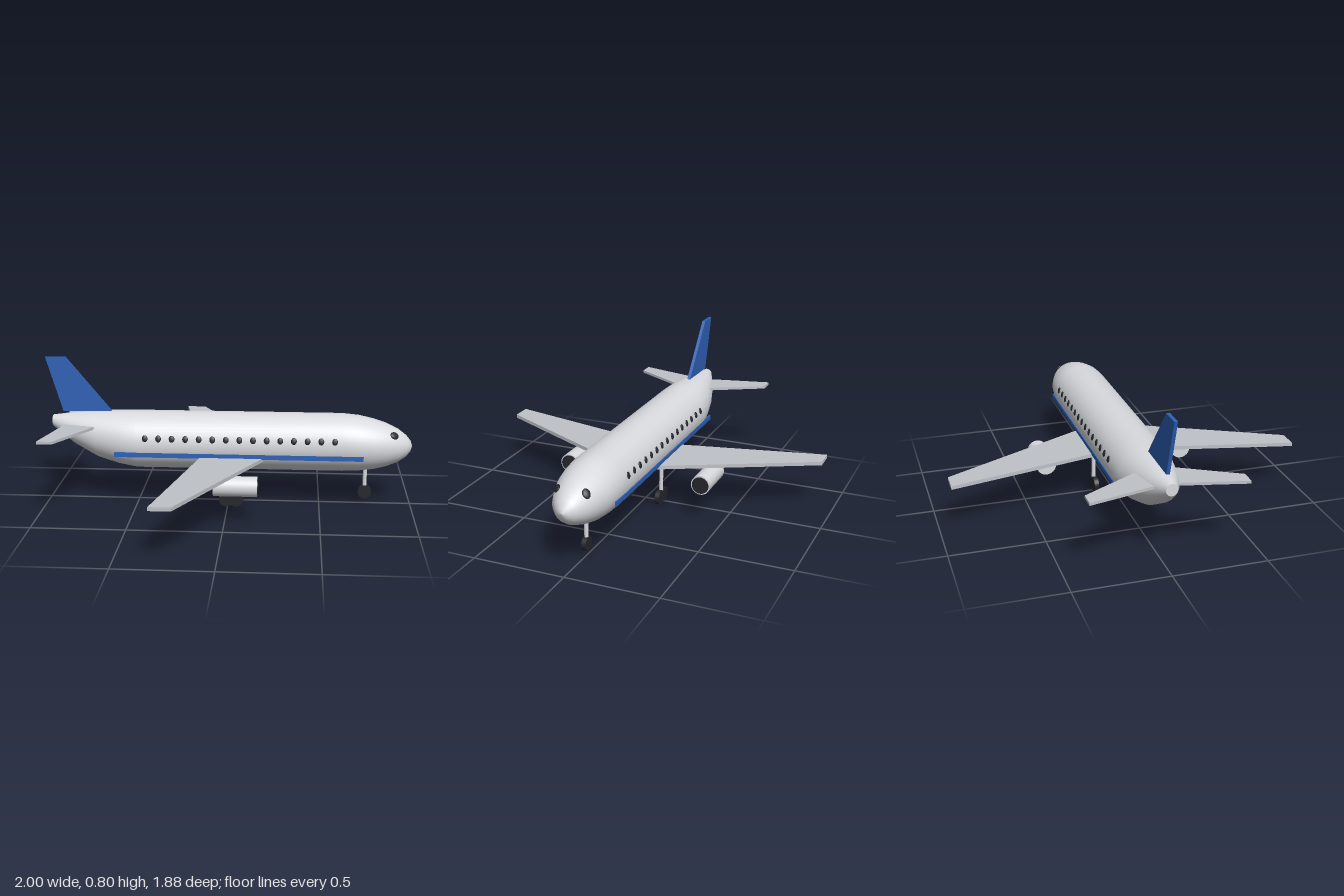
import * as THREE from 'three';

const mat = (name, color, side = THREE.FrontSide) => {
  const m = new THREE.MeshStandardMaterial({ color, side });
  m.name = name;
  return m;
};

export function createModel() {
  const body = mat('light grey', 0xd8dade);
  const wingGrey = mat('wing grey', 0xbfc3c9);
  const blue = mat('blue', 0x2f62b8);
  const dark = mat('dark', 0x25272d);
  const group = new THREE.Group();
  const add = (name, geometry, material, x = 0, y = 0, z = 0) => {
    const mesh = new THREE.Mesh(geometry, material);
    mesh.name = name;
    mesh.position.set(x, y, z);
    group.add(mesh);
    return mesh;
  };

  // Fuselage: elliptical rings [x, top, bottom, half width] from tail to nose
  const stations = [
    [-0.97, 0.475, 0.412, 0.03], [-0.85, 0.49, 0.318, 0.083], [-0.72, 0.5, 0.245, 0.122],
    [-0.6, 0.505, 0.208, 0.147], [-0.5, 0.506, 0.19, 0.158], [0.62, 0.506, 0.19, 0.158],
    [0.71, 0.497, 0.194, 0.154], [0.79, 0.479, 0.203, 0.142], [0.86, 0.456, 0.22, 0.12],
    [0.92, 0.427, 0.243, 0.094], [0.965, 0.393, 0.272, 0.061], [0.99, 0.363, 0.302, 0.031],
    [1, 0.333, 0.331, 0.001],
  ];
  const sides = 48, pos = [], index = [];
  stations.forEach(([x, top, bottom, w], s) => {
    for (let i = 0; i < sides; i++) {
      const a = (i / sides) * Math.PI * 2;
      pos.push(x, (top + bottom) / 2 + Math.cos(a) * (top - bottom) / 2, Math.sin(a) * w);
      if (s === stations.length - 1) continue;
      const p = s * sides + i, q = s * sides + ((i + 1) % sides);
      index.push(p, q, p + sides, q, q + sides, p + sides);
    }
  });
  const hull = new THREE.BufferGeometry();
  hull.setAttribute('position', new THREE.Float32BufferAttribute(pos, 3));
  hull.setIndex(index);
  hull.computeVertexNormals();
  add('fuselage', hull, body);
  const cap = new THREE.CircleGeometry(1, sides).scale(0.03, 0.0315, 1).rotateY(-Math.PI / 2);
  add('tailCap', cap, body, -0.97, 0.4435, 0);

  // Flat plates extruded from an outline
  const plate = (points, depth) => new THREE.ExtrudeGeometry(
    new THREE.Shape(points.map(([x, y]) => new THREE.Vector2(x, y))), { depth, bevelEnabled: false });

  add('fin', plate([[-0.91, 0.497], [-0.645, 0.503], [-0.89, 0.8], [-1, 0.8]], 0.018), blue, 0, 0, -0.009);

  // A thin oval facing along a normal
  const oval = (name, w, h, t, point, normal) => {
    const mesh = add(name, new THREE.SphereGeometry(1, 16, 10).scale(w, h, t), dark, ...point);
    mesh.quaternion.setFromUnitVectors(new THREE.Vector3(0, 0, 1), new THREE.Vector3(...normal).normalize());
  };

  for (const s of [1, -1]) {
    const side = s > 0 ? 'left' : 'right';

    // Wings and tailplane
    const flat = (points, depth) => plate(points.map(([x, z]) => [x, z * s]), depth).rotateX(Math.PI / 2);
    add(side + 'Wing', flat([[0.215, 0.1], [-0.21, 0.938], [-0.32, 0.938], [-0.134, 0.1]], 0.02), wingGrey, 0, 0.29, 0);
    add(side + 'Tailplane', flat([[-0.69, 0.04], [-0.892, 0.4], [-0.972, 0.4], [-0.888, 0.04]], 0.015), wingGrey, 0, 0.437, 0);

    // Engine with dark intake
    add(side + 'Engine', new THREE.CylinderGeometry(0.053, 0.053, 0.228, 32).rotateZ(-Math.PI / 2), body, 0.059, 0.211, s * 0.385);
    add(side + 'Intake', new THREE.CylinderGeometry(0.046, 0.046, 0.006, 32).rotateZ(-Math.PI / 2), dark, 0.174, 0.211, s * 0.385);

    // Stripe, cabin windows and windscreen
    add(side + 'Stripe', new THREE.BoxGeometry(1.34, 0.025, 0.01), blue, 0.06, 0.298, s * 0.153);
    for (let i = 0; i < 15; i++)
      oval(side + 'Window', 0.0155, 0.0185, 0.006, [-0.443 + i * 0.0728, 0.39, s * 0.1525], [0, 0.26, s]);
    oval(side + 'Windscreen', 0.026, 0.021, 0.009, [0.895, 0.41, s * 0.078], [0.5, 0.6, s * 0.62]);
  }

  // Landing gear
  const wheel = (name, x, y, z, r) =>
    add(name, new THREE.CylinderGeometry(r, r, 0.025, 24).rotateX(Math.PI / 2), dark, x, y, z);
  const strut = (name, x, z, y0, y1) =>
    add(name, new THREE.CylinderGeometry(0.011, 0.011, y1 - y0, 16), body, x, (y0 + y1) / 2, z);
  strut('noseStrut', 0.75, 0, 0.07, 0.22);
  wheel('noseWheel', 0.75, 0.066, 0, 0.038);
  for (const z of [0.1, -0.1]) {
    strut('mainStrut', 0.02, z, 0.045, 0.2);
    for (const x of [-0.007, 0.047]) wheel('mainWheel', x, 0.04, z, 0.04);
  }
  return group;
}
